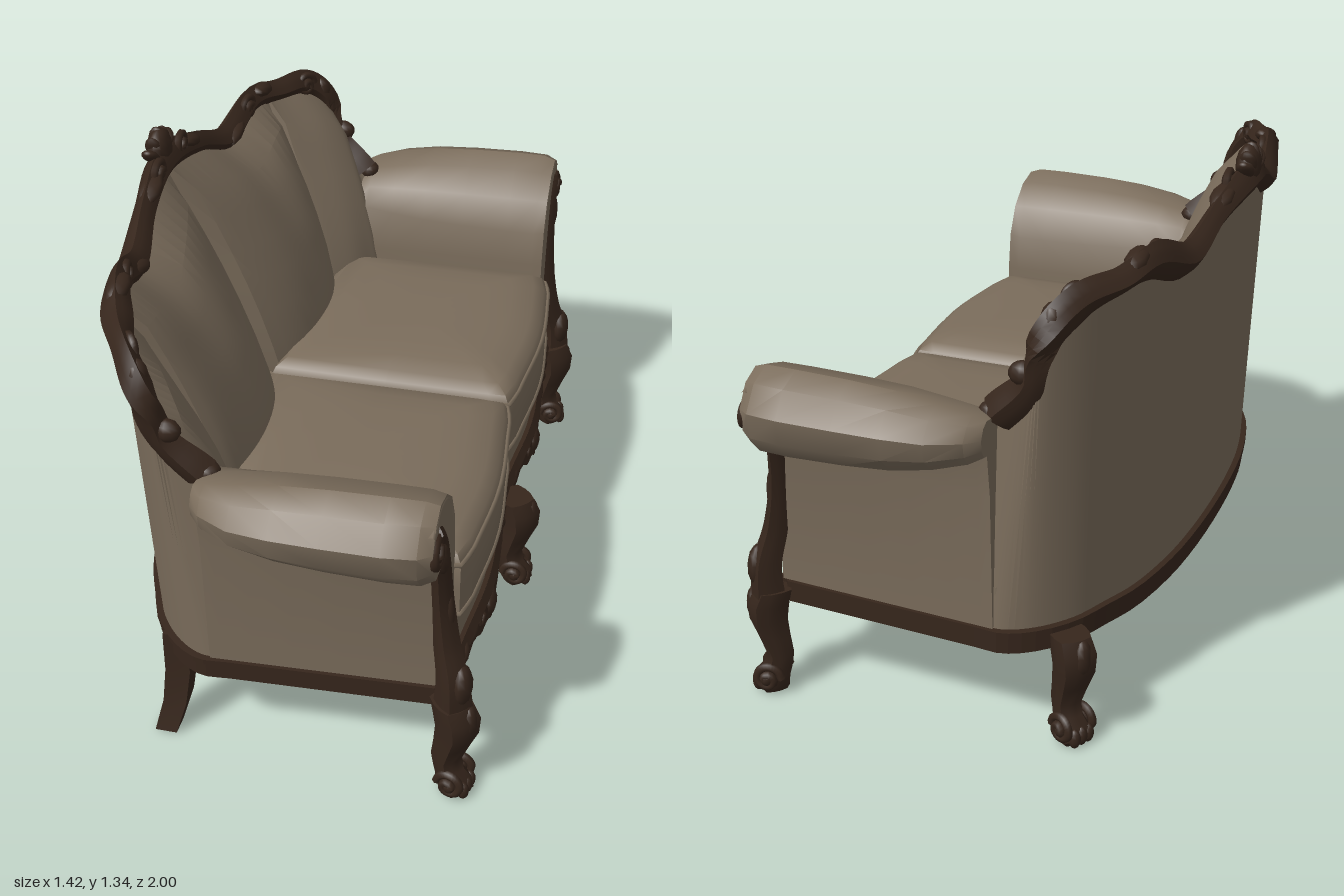
import * as THREE from 'three';
import { toCreasedNormals } from 'three/addons/utils/BufferGeometryUtils.js';

const V = (x, y, z) => new THREE.Vector3(x, y, z);

// Closed solid through equal-length rings of points, with flat end caps
function loft(rings, crease = 0.6) {
  const n = rings[0].length, m = rings.length, idx = [];
  for (let i = 0; i < m - 1; i++) for (let j = 0; j < n; j++) {
    const a = i * n + j, b = i * n + (j + 1) % n, c = a + n, d = b + n;
    idx.push(a, b, d, a, d, c);
  }
  const cap = (ring, off, flip) => {
    // flatten the ring onto its own plane before triangulating
    const nrm = V(0, 0, 0);
    ring.forEach((p, i) => nrm.add(p.clone().cross(ring[(i + 1) % n])));
    nrm.normalize();
    const ax = V(0, 1, 0).cross(nrm);
    if (ax.length() < 0.01) ax.set(1, 0, 0);
    ax.normalize();
    const ay = nrm.clone().cross(ax);
    const flat = ring.map(p => new THREE.Vector2(p.dot(ax), p.dot(ay)));
    THREE.ShapeUtils.triangulateShape(flat, []).forEach(([a, b, c]) =>
      flip ? idx.push(off + a, off + c, off + b) : idx.push(off + a, off + b, off + c));
  };
  cap(rings[0], 0, true);
  cap(rings[m - 1], (m - 1) * n, false);
  const pts = rings.flat();
  let vol = 0;
  for (let i = 0; i < idx.length; i += 3)
    vol += pts[idx[i]].dot(pts[idx[i + 1]].clone().cross(pts[idx[i + 2]]));
  if (vol < 0) idx.reverse();
  const g = new THREE.BufferGeometry().setFromPoints(pts);
  g.setIndex(idx);
  return toCreasedNormals(g, crease);
}

// Carved moulding swept along a curve; ref(T) gives its outward direction
function sweep(curve, steps, ra, rb, ref, sides = 12) {
  const rings = [];
  for (let i = 0; i <= steps; i++) {
    const t = i / steps, p = curve.getPoint(t), T = curve.getTangent(t);
    const N = ref(T).normalize(), B = T.clone().cross(N).normalize();
    rings.push(Array.from({ length: sides }, (_, j) => {
      const a = j / sides * Math.PI * 2, k = 1 + 0.13 * Math.cos(a * 4);
      return p.clone().addScaledVector(N, Math.cos(a) * ra(t) * k).addScaledVector(B, Math.sin(a) * rb(t) * k);
    }));
  }
  return loft(rings, 0.5);
}

const frontW = u => 0.365 - 0.013 * Math.cos(u * 8.6);

// Index-matched outlines from the centre to one side: rail, wall foot, seat line
const RAIL = [[0, 1.24, -.6], [.2, 1.2, -.58], [.37, 1.14, -.555], [.54, 1.185, -.525], [.66, 1.17, -.485],
  [.765, 1.15, -.43], [.825, 1.08, -.375], [.82, .96, -.335], [.805, .865, -.25]];
const FOOT = [[0, .31, -.55], [.19, .31, -.545], [.35, .31, -.53], [.52, .31, -.495], [.62, .31, -.455],
  [.72, .31, -.41], [.8, .31, -.34], [.838, .31, -.27], [.835, .31, -.2]];
const SEAT = [[0, .5, -.32], [.18, .5, -.29], [.34, .5, -.285], [.48, .5, -.3], [.56, .5, -.3],
  [.63, .5, -.26], [.69, .5, -.23], [.71, .5, -.21], [.73, .5, -.19]];
const both = a => new THREE.CatmullRomCurve3(
  [...a.slice(1).reverse().map(([x, y, z]) => V(-x, y, z)), ...a.map(p => V(...p))]);

export function createModel() {
  const fabric = new THREE.MeshStandardMaterial({ color: 0x7a6c5b });
  fabric.name = 'taupe fabric';
  const wood = new THREE.MeshStandardMaterial({ color: 0x36261c });
  wood.name = 'dark carved wood';
  const sofa = new THREE.Group();
  sofa.name = 'sofa';
  const add = (name, geo, mat) => {
    const mesh = new THREE.Mesh(geo, mat);
    mesh.name = name;
    sofa.add(mesh);
    return mesh;
  };
  const leaf = (name, x, y, z, sx, sy, sz, rot = 0) => {
    const mesh = add(name, new THREE.SphereGeometry(1, 10, 7), wood);
    mesh.position.set(x, y, z);
    mesh.scale.set(sx, sy, sz);
    mesh.rotation.z = rot;
  };
  const scroll = (name, x, y, z, r, dir = 1, yaw = 0) => {
    const pts = Array.from({ length: 16 }, (_, i) => {
      const a = i * 0.62, k = r * (1 - i / 19);
      return V(Math.cos(a) * k * dir, Math.sin(a) * k, i * r * 0.02);
    });
    const mesh = add(name, new THREE.TubeGeometry(new THREE.CatmullRomCurve3(pts), 32, r * 0.3, 6), wood);
    mesh.position.set(x, y, z);
    mesh.rotation.y = yaw;
    leaf(name + 'Eye', x, y, z, r * .6, r * .6, r * .5);
  };

  // Base frame, underside panel and upholstered seat base
  const outline = grow => {
    const pts = both(FOOT).getPoints(40).map(p => new THREE.Vector2(p.x * (1 + grow), p.z * (1 + grow * 1.5)));
    pts.push(new THREE.Vector2(.81 * (1 + grow), .315));
    for (let i = 0; i <= 24; i++) {
      const u = .78 - 1.56 * i / 24;
      pts.push(new THREE.Vector2(u, frontW(u) - .015 + grow * .5));
    }
    pts.push(new THREE.Vector2(-.81 * (1 + grow), .315));
    return pts;
  };
  const slab = (pts, hole, y0, y1) => {
    const s = new THREE.Shape(pts);
    if (hole) s.holes.push(new THREE.Path(hole));
    return new THREE.ExtrudeGeometry(s, { depth: y1 - y0, bevelEnabled: false }).rotateX(Math.PI / 2).translate(0, y1, 0);
  };
  add('baseFrame', slab(outline(.012), outline(-.06), .26, .315), wood);
  add('baseMoulding', slab(outline(.02), outline(-.03), .305, .32), wood);
  add('undersidePanel', slab(outline(-.055), null, .27, .3), fabric);
  add('seatBase', slab(outline(-.005), null, .3, .43), fabric);

  // Back: plain outer wall and plump padded channels inside
  const rail = both(RAIL), foot = both(FOOT), seat = both(SEAT);
  const rings = [];
  for (let i = 0; i <= 80; i++) {
    const t = i / 80, k = Math.abs(t * 2 - 1) * 8;
    const f = k < 3.6 ? k / 3.6 : (k - 3.6) / 4.4;
    const puff = Math.pow(Math.max(0, Math.sin(Math.PI * f)), .42) * (k < 3.6 ? .11 : .07);
    const top = rail.getPoint(t), lo = foot.getPoint(t), inn = seat.getPoint(t);
    const ring = [lo, lo.clone().lerp(top, .5), top.clone()];
    for (let j = 1; j <= 8; j++) {
      const q = j / 8, p = top.clone().lerp(inn, q), swell = Math.sin(Math.PI * (.1 + .75 * q));
      p.z += puff * swell + .01;
      p.x -= Math.sign(p.x) * (k > 3.6 ? puff * swell * .8 : 0);
      ring.push(p);
    }
    ring.push(V(inn.x, .32, inn.z));
    rings.push(ring);
  }
  add('backrest', loft(rings, .35), fabric);

  // Carved top rail with crest, scrolls and corner ornaments
  add('backRail', sweep(rail, 90, t => .03 + .004 * Math.cos(t * 50), t => .037 + .006 * Math.cos(t * 38),
    T => V(T.z, 0, -T.x)), wood);
  leaf('crestShell', 0, 1.28, -.605, .05, .055, .032);
  for (let i = -2; i <= 2; i++)
    leaf('crestPetal', i * .027, 1.303 - Math.abs(i) * .012, -.61, .014, .036, .024, -i * .45);
  for (const s of [-1, 1]) {
    scroll('crestScroll', s * .085, 1.25, -.58, .036, s);
    leaf('crestLeaf', s * .15, 1.235, -.58, .06, .018, .03, -s * .3);
    scroll('shoulderScroll', s * .5, 1.185, -.52, .034, -s, s * -.2);
    leaf('shoulderLeaf', s * .59, 1.203, -.505, .055, .02, .028, -s * .2);
    leaf('railLeaf', s * .4, 1.15, -.53, .06, .018, .025, s * .25);
    scroll('cornerScroll', s * .755, 1.155, -.42, .034, s, s * -.7);
    leaf('cornerLeaf', s * .815, 1.115, -.385, .028, .045, .028, s * .2);
    leaf('sideLeaf', s * .825, .985, -.32, .025, .03, .035);
    leaf('railEnd', s * .805, .87, -.235, .03, .026, .032);
  }

  // Seat cushions with piping
  for (const s of [-1, 1]) {
    const plan = [];
    for (let i = 0; i <= 10; i++) {
      const u = .006 + .684 * i / 10;
      plan.push([u, frontW(u) + (i % 10 ? .008 : -.005)]);
    }
    plan.push([.697, .3], [.697, 0], [.69, -.28], [.35, -.32], [.006, -.33], [.003, 0], [.003, .3]);
    const level = (y, inset) => plan.map(([u, w]) =>
      V(s * (.35 + (u - .35) * (1 - inset / .35)), y, .02 + (w - .02) * (1 - inset / .35)));
    const rows = [[.43, .015], [.45, 0], [.52, .001], [.6, 0], [.625, .012], [.645, .04], [.66, .1], [.668, .18], [.67, .3]];
    add('seatCushion', loft(rows.map(r => level(...r)), .7), fabric);
    for (const y of [.447, .602])
      add('cushionPiping', new THREE.TubeGeometry(new THREE.CatmullRomCurve3(level(y, 0), true, 'catmullrom', .2), 70, .007, 5, true), fabric);
  }

  // Rolled arms and carved front posts; each step is [position, outward roll, height of roll]
  const ARM = [[.69, .4], [.69, .66], [.705, .76], [.745, .85], [.81, .912], [.89, .935], [.955, .91], [1.0, .85],
    [.99, .785], [.945, .735], [.88, .725], [.84, .735], [.825, .68], [.815, .32]];
  const STEPS = [[-.25, .3, .42], [-.22, .55, .55], [-.14, .86, .72], [-.04, .97, .88], [.08, 1, .96], [.22, 1, 1],
    [.3, .93, 1], [.332, .75, .9]];
  for (const s of [-1, 1]) {
    add('arm', loft(STEPS.map(([w, k, h]) => ARM.map(([u, y]) => V(
      s * (u > .86 ? .86 + (u - .86) * k : u + (u > .8 && y < .74 ? (.34 - w) * .05 : 0)),
      y > .7 ? .83 + (y - .83) * h : y, w))), .6), fabric);
    const post = new THREE.CatmullRomCurve3([[.905, .86, .322], [.87, .83, .324], [.835, .74, .324], [.815, .6, .328],
      [.82, .47, .342], [.84, .37, .362], [.84, .28, .365]].map(([u, y, w]) => V(s * u, y, w)));
    add('armPost', sweep(post, 40, t => .019 + .026 * t * t, t => .023 + .018 * t, () => V(0, 0, 1)), wood);
    scroll('armScroll', s * .925, .82, .328, .042, -s);
    leaf('armScrollLeaf', s * .86, .76, .332, .022, .06, .02, -s * .3);
    leaf('postLeaf', s * .82, .56, .342, .018, .07, .018);
    leaf('kneeLeaf', s * .84, .36, .382, .04, .06, .03);
    // trim following the front curve of the arm
    const trim = new THREE.CatmullRomCurve3([[.72, .76], [.75, .83], [.81, .89], [.89, .91], [.95, .88]]
      .map(([u, y]) => V(s * u, y, .325)));
    add('armPiping', new THREE.TubeGeometry(trim, 20, .009, 5), fabric);
  }

  // Scalloped front apron with carving
  const dip = (u, c, r) => Math.exp(-Math.pow((Math.abs(u) - c) / r, 2));
  const apron = [];
  for (let i = 0; i <= 72; i++) {
    const u = -.8 + 1.6 * i / 72, w = frontW(u) - .015;
    const low = .255 - .06 * dip(u, .38, .12) - .01 * Math.cos(u * 50) + .012 * dip(u, .18, .06);
    apron.push([V(u, .318, w - .02), V(u, .318, w + .01), V(u, .295, w + .024), V(u, (low + .3) / 2, w + .014),
      V(u, low, w + .02), V(u, low, w - .01)]);
  }
  add('apron', loft(apron, .5), wood);
  for (const c of [-.38, .38]) {
    leaf('apronShell', c, .235, .37, .045, .045, .025);
    leaf('apronPendant', c, .2, .365, .026, .022, .02);
    for (const s of [-1, 1]) {
      scroll('apronScroll', c + s * .09, .25, .365, .03, s);
      leaf('apronLeaf', c + s * .18, .275, .355, .07, .02, .02, s * .25);
      leaf('apronTip', c + s * .27, .285, .35, .04, .022, .02, -s * .3);
    }
  }

  // Cabriole legs: [height, outward shift, radius]
  const LEG = [[.3, .0, .05], [.26, .014, .055], [.21, .016, .05], [.16, .003, .042], [.11, -.01, .036],
    [.075, -.004, .036], [.05, .01, .043], [.02, .014, .044], [.005, .012, .035]];
  const cabriole = (name, u, w, dx, dz) => {
    add(name, loft(LEG.map(([y, o, r]) => Array.from({ length: 12 }, (_, j) => {
      const a = j / 6 * Math.PI, k = r * (1 + .1 * Math.cos(a * 4));
      return V(u + dx * o + Math.cos(a) * k, y, w + dz * o + Math.sin(a) * k);
    })), .7), wood);
    const yaw = Math.atan2(dx, dz);
    leaf(name + 'Knee', u + dx * .045, .25, w + dz * .045, .03, .05, .024);
    for (const s of [-1, 1])
      scroll(name + 'FootScroll', u + dx * .015 + s * dz * .036, .05, w + dz * .015 - s * dx * .036, .037, s, yaw + s * Math.PI / 2);
    for (const s of [-1, 0, 1])
      leaf(name + 'Toe', u + dx * .045 + s * dz * .022, .03, w + dz * .045 - s * dx * .022, .015, .026, .016);
  };
  cabriole('frontLeg', .83, .357, .2, .98);
  cabriole('frontLeg', -.835, .36, -.2, .98);
  cabriole('middleLeg', 0, .378, 0, 1);
  cabriole('backLeg', .76, -.415, .45, -.89);

  // Plain splayed back leg
  add('splayedBackLeg', loft([[.32, 0, .034], [.2, .002, .033], [.1, .016, .031], [.01, .045, .029]].map(([y, o, r]) =>
    [[-1, -1], [1, -1], [1, 1], [-1, 1]].map(([a, b]) => V(-.755 - o * .8 + a * r, y, -.36 - o * .8 + b * r))), .4), wood);

  // Turn the sofa to its angled stance
  sofa.rotation.y = THREE.MathUtils.degToRad(110);
  sofa.position.set(.014, 0, .038);
  const model = new THREE.Group();
  model.name = 'carvedSofa';
  model.add(sofa);
  return model;
}
